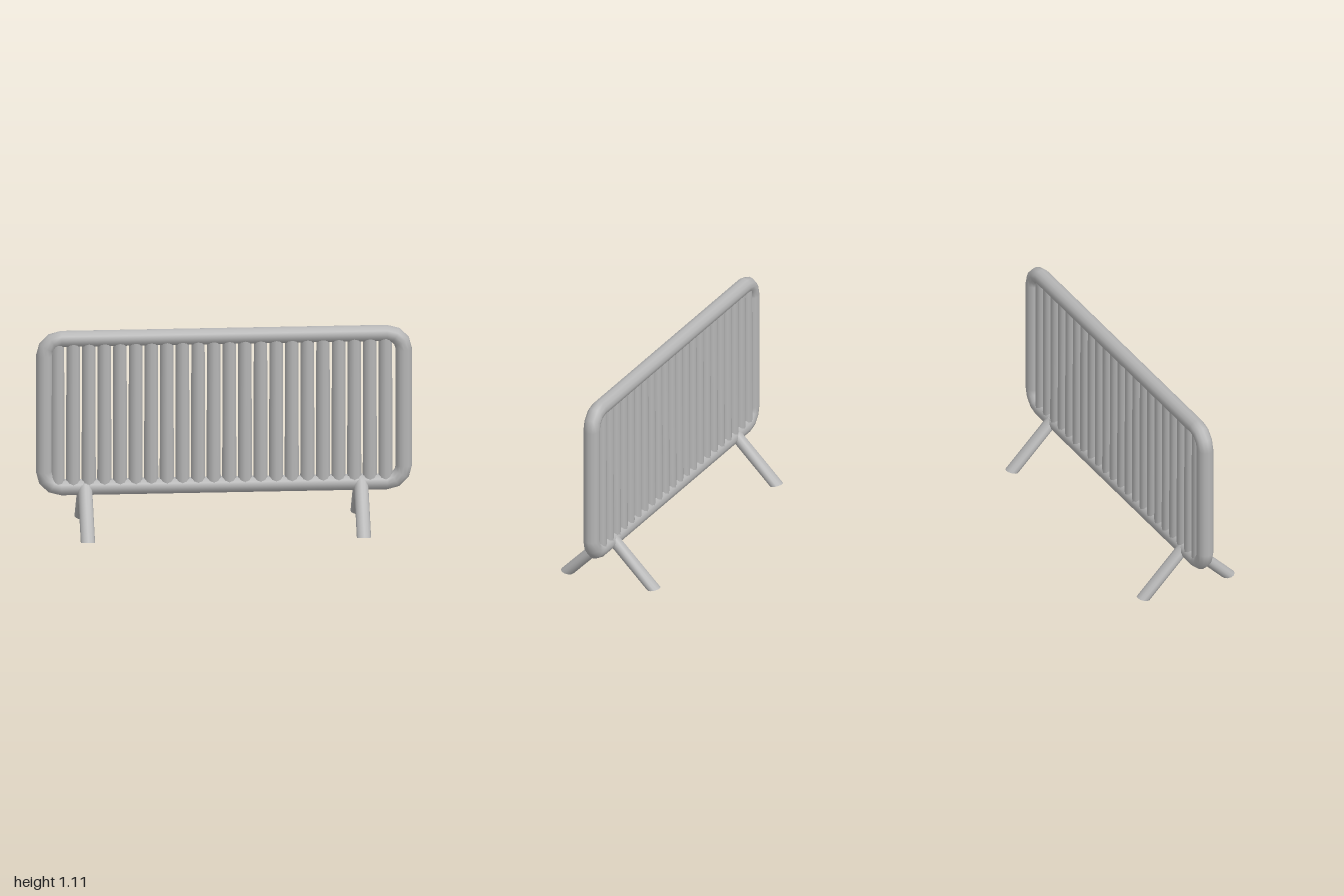
import * as THREE from 'three';

const steel = new THREE.MeshStandardMaterial({ color: 0xb6b6b6 });
steel.name = 'galvanised steel';

// Rounded rectangular tube: a torus whose rings are spread out to four corners
function frameGeometry() {
  const STEPS = 3, PER = STEPS + 1, RINGS = PER * 4;
  const r = 0.044, bend = 0.09, halfW = 0.866, halfH = 0.32, midY = 0.657;
  const geo = new THREE.TorusGeometry(bend, r, 12, RINGS);
  const { position, normal, uv } = geo.attributes;
  for (let n = 0; n < position.count; n++) {
    const ring = Math.round(uv.getX(n) * RINGS) % RINGS;
    const corner = Math.floor(ring / PER);
    const a = (corner + (ring % PER) / STEPS) * Math.PI / 2;
    const b = uv.getY(n) * Math.PI * 2;
    const cx = corner === 0 || corner === 3 ? halfW : -halfW;
    const cy = midY + (corner < 2 ? halfH : -halfH);
    const d = bend + r * Math.cos(b);
    position.setXYZ(n, cx + d * Math.cos(a), cy + d * Math.sin(a), r * Math.sin(b));
    normal.setXYZ(n, Math.cos(b) * Math.cos(a), Math.cos(b) * Math.sin(a), Math.sin(b));
  }
  return geo;
}

// Leg tube slanting forward at 45 degrees, with nearly level cut ends
function legGeometry() {
  const geo = new THREE.CylinderGeometry(1, 1, 1, 12);
  const p = geo.attributes.position;
  for (let n = 0; n < p.count; n++) {
    const t = 0.5 - p.getY(n);
    const s = p.getZ(n) * 0.035;
    p.setXYZ(n, p.getX(n) * 0.038, 0.267 - 0.255 * t + 0.24 * s, 0.255 * t + s);
  }
  const seamFirst = 0, seamLast = 12;
  geo.computeVertexNormals();
  // Share the normal across the seam so the tube stays smooth
  const nrm = geo.attributes.normal;
  for (const row of [0, 13]) {
    const v = new THREE.Vector3().fromBufferAttribute(nrm, row + seamFirst)
      .add(new THREE.Vector3().fromBufferAttribute(nrm, row + seamLast)).normalize();
    nrm.setXYZ(row + seamFirst, v.x, v.y, v.z);
    nrm.setXYZ(row + seamLast, v.x, v.y, v.z);
  }
  return geo;
}

export function createModel() {
  const model = new THREE.Group();
  model.name = 'crowdBarrier';
  const add = (name, geo, parent = model) => {
    const mesh = new THREE.Mesh(geo, steel);
    mesh.name = name;
    parent.add(mesh);
    return mesh;
  };

  add('frame', frameGeometry());

  // Row of upright bars, slightly tapered towards the top
  const bars = new THREE.Group();
  bars.name = 'bars';
  model.add(bars);
  const barGeo = new THREE.CylinderGeometry(0.0365, 0.039, 0.81, 10, 1);
  for (let i = 0; i < 22; i++) {
    add('bar', barGeo, bars).position.set(-0.885 + i * 0.083, 0.655, 0);
  }

  // Two pairs of splayed legs
  const legGeo = legGeometry();
  for (const x of [-0.74, 0.727]) {
    for (const back of [false, true]) {
      const leg = add(back ? 'backLeg' : 'frontLeg', legGeo);
      leg.position.x = x;
      if (back) leg.rotation.y = Math.PI;
    }
  }
  return model;
}
